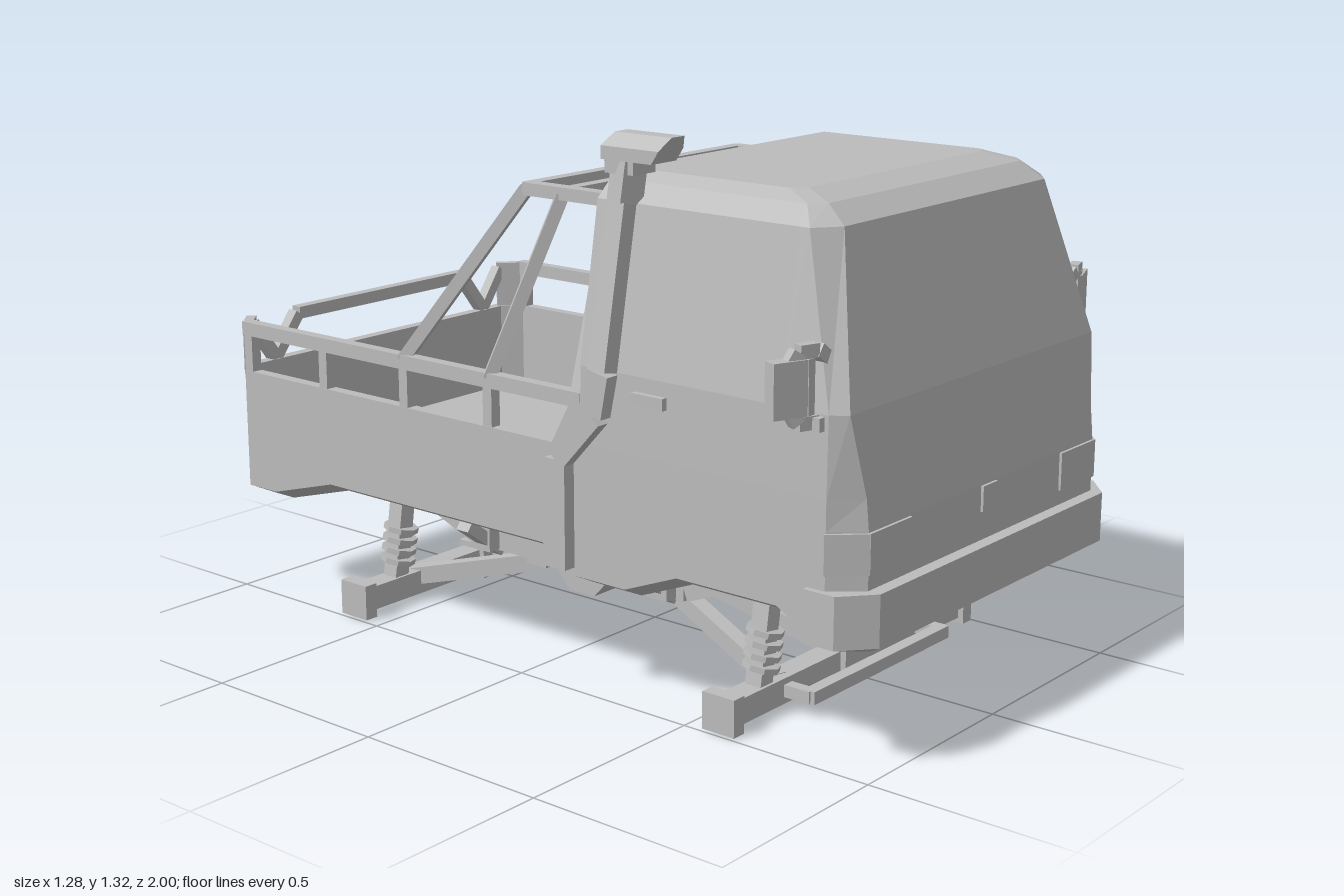
import * as THREE from 'three';

const paint = new THREE.MeshStandardMaterial({ color: 0xbcbcbc });
paint.name = 'grey';
paint.flatShading = true;
paint.side = THREE.DoubleSide;

// Height of the wheel-arch cut-out, interpolated along z
function along(table) {
  return (z) => {
    for (let i = 1; i < table.length; i++) {
      const [z0, h0] = table[i - 1], [z1, h1] = table[i];
      if (z >= z1) return z >= z0 ? h0 : h0 + ((h1 - h0) * (z - z0)) / (z1 - z0);
    }
    return table[table.length - 1][1];
  };
}

// Half outline, front to back: front edge, side points, rear edge
function ring(y, front, frontW, sideZ, w, back, backW = w, backSideZ = back, mids = [], rise = () => 0) {
  const pts = [[frontW, front], [w, sideZ], ...mids.map((z) => [w, Math.min(z, sideZ)]), [w, backSideZ], [backW, back]];
  return pts.map(([x, z]) => [x, y + rise(z), z]);
}

// Skin between mirrored outlines, closed at both ends
function loft(rings) {
  const pos = [];
  const quad = (a, b, c, d) => pos.push(...a, ...b, ...c, ...a, ...c, ...d);
  const flip = ([x, y, z]) => [-x, y, z];
  const full = rings.map((r) => [...r, ...r.map(flip).reverse()]);
  for (let k = 1; k < full.length; k++) {
    const a = full[k - 1], b = full[k], n = a.length;
    for (let i = 0; i < n; i++) quad(a[i], a[(i + 1) % n], b[(i + 1) % n], b[i]);
  }
  const lo = rings[0], hi = rings[rings.length - 1];
  for (let i = 1; i < lo.length; i++) {
    quad(lo[i - 1], flip(lo[i - 1]), flip(lo[i]), lo[i]);
    quad(hi[i - 1], hi[i], flip(hi[i]), flip(hi[i - 1]));
  }
  const g = new THREE.BufferGeometry();
  g.setAttribute('position', new THREE.Float32BufferAttribute(pos, 3));
  g.computeVertexNormals();
  return g;
}

export function createModel() {
  const model = new THREE.Group();
  model.name = 'pickup';

  function add(name, geometry) {
    const m = new THREE.Mesh(geometry, paint);
    m.name = name;
    model.add(m);
    return m;
  }
  // Box given by its limits
  function box(name, x0, x1, y0, y1, z0, z1) {
    const m = add(name, new THREE.BoxGeometry(Math.abs(x1 - x0), y1 - y0, z1 - z0));
    m.position.set((x0 + x1) / 2, (y0 + y1) / 2, (z0 + z1) / 2);
    return m;
  }
  // Square bar between two points
  function beam(name, a, b, w = 0.03, h = w) {
    const p = new THREE.Vector3(...a), q = new THREE.Vector3(...b);
    const m = add(name, new THREE.BoxGeometry(w, h, p.distanceTo(q)));
    m.position.copy(p).add(q).multiplyScalar(0.5);
    m.lookAt(q);
    return m;
  }
  function path(name, pts, w, h) {
    for (let i = 1; i < pts.length; i++) beam(name, pts[i - 1], pts[i], w, h);
  }

  // Cab
  const cabMids = [0.86, 0.775, 0.5, 0.35];
  const cabRise = along([[0.88, 0], [0.775, 0.06], [0.5, 0.06], [0.35, 0], [0.22, 0]]);
  const cab = (y, f, fw, c, w, b = 0.22, rise) => ring(y, f, fw, c, w, b, w, b, cabMids, rise);
  add('cab', loft([
    cab(0.27, 0.93, 0.42, 0.87, 0.47, 0.22, cabRise),
    cab(0.3, 0.97, 0.47, 0.9, 0.53, 0.22, cabRise),
    cab(0.55, 0.967, 0.47, 0.9, 0.53),
    cab(0.62, 0.96, 0.47, 0.9, 0.53),
    cab(0.8, 0.935, 0.5, 0.9, 0.527),
    cab(1.17, 0.845, 0.405, 0.8, 0.465),
    cab(1.21, 0.79, 0.385, 0.76, 0.42),
    cab(1.23, 0.71, 0.345, 0.68, 0.375, 0.235),
  ]));

  // Front bumper
  add('frontBumper', loft([
    ring(0.27, 0.95, 0.43, 0.89, 0.48, 0.86),
    ring(0.3, 1, 0.47, 0.935, 0.545, 0.855),
    ring(0.42, 1, 0.47, 0.935, 0.545, 0.855),
  ]));

  // Load bed, open on top
  const bedMids = [0.2, 0.1, -0.62, -0.83];
  const bedRise = along([[0.2, 0], [0.1, 0.06], [-0.62, 0.06], [-0.83, 0], [-1, 0]]);
  const bed = (y, f, w, b, bw, bc, rise) => ring(y, f, w, f, w, b, bw, bc, bedMids, rise);
  add('loadBed', loft([
    bed(0.27, 0.24, 0.47, -0.95, 0.42, -0.9, bedRise),
    bed(0.3, 0.24, 0.53, -0.99, 0.47, -0.93, bedRise),
    bed(0.607, 0.24, 0.53, -0.99, 0.47, -0.93),
    bed(0.607, 0.225, 0.5, -0.96, 0.455, -0.915),
    bed(0.37, 0.225, 0.5, -0.96, 0.455, -0.915),
  ]));

  // Raised cover in the bed
  add('engineCover', loft([
    ring(0.37, 0.22, 0.31, 0.22, 0.31, -0.155),
    ring(0.45, 0.22, 0.31, 0.22, 0.31, -0.155),
    ring(0.47, 0.22, 0.28, 0.22, 0.28, -0.13),
  ]));

  // Parts on both sides
  for (const s of [1, -1]) {
    // Side rail, its posts and the gusset behind the cab
    const rx = 0.515 * s;
    beam('sideRail', [rx, 0.718, 0.22], [rx, 0.718, -0.935], 0.03, 0.035);
    for (const z of [-0.07, -0.35, -0.635, -0.915]) beam('railPost', [rx, 0.6, z], [rx, 0.71, z], 0.028);
    const tri = new THREE.Shape([[-0.22, 0.6], [-0.13, 0.6], [-0.19, 0.71], [-0.22, 0.71]].map((p) => new THREE.Vector2(...p)));
    const gusset = add('railGusset', new THREE.ExtrudeGeometry(tri, { depth: 0.03, bevelEnabled: false }));
    gusset.rotation.y = Math.PI / 2;
    gusset.position.x = rx - 0.015;

    // Rear corner plate and sloping tail rails
    beam('cornerPlate', [0.52 * s, 0.665, -0.925], [0.46 * s, 0.665, -0.98], 0.025, 0.135);
    path('tailRail', [[0.465 * s, 0.715, -0.977], [0.39 * s, 0.61, -0.977], [0.31 * s, 0.715, -0.977]], 0.03, 0.03);

    // Roll cage
    const tx = 0.392 * s;
    beam('cageTop', [tx, 1.155, 0.2], [tx, 1.155, -0.06], 0.035, 0.03);
    beam('cageFrontPost', [tx, 1.155, 0.203], [rx, 0.72, 0.203], 0.03, 0.028);
    beam('cageMiddleLeg', [tx, 1.15, 0.05], [rx, 0.72, -0.075], 0.03);
    beam('cageRearLeg', [tx, 1.155, -0.06], [rx, 0.72, -0.36], 0.03);

    // Mirror on its bracket
    path('mirrorBracket', [[0.49 * s, 0.91, 0.865], [0.525 * s, 0.935, 0.865], [0.57 * s, 0.935, 0.85], [0.59 * s, 0.9, 0.84],
      [0.59 * s, 0.82, 0.84], [0.57 * s, 0.783, 0.85], [0.525 * s, 0.783, 0.865]], 0.025, 0.03);
    box('mirrorArm', 0.538 * s, 0.56 * s, 0.8, 0.92, 0.85, 0.872);
    beam('mirrorHead', [0.555 * s, 0.86, 0.855], [0.632 * s, 0.86, 0.825], 0.035, 0.12);
    box('mirrorFoot', 0.49 * s, 0.545 * s, 0.765, 0.795, 0.86, 0.89);

    // Lamps and door handle
    box('headlamp', 0.315 * s, 0.472 * s, 0.456, 0.547, 0.966, 0.974);
    beam('headlampSide', [0.47 * s, 0.501, 0.971], [0.536 * s, 0.501, 0.9], 0.008, 0.091);
    box('tailLamp', 0.375 * s, 0.465 * s, 0.39, 0.52, -0.998, -0.989);
    box('doorHandle', 0.525 * s, 0.543 * s, 0.738, 0.766, 0.38, 0.47);

    // Frame rail kicked up over both axles
    const fx = 0.28 * s;
    path('frameRail', [[fx, 0.3, 0.75], [fx, 0.3, 0.5], [fx, 0.237, 0.34], [fx, 0.237, -0.34], [fx, 0.3, -0.5], [fx, 0.3, -0.8]], 0.05, 0.06);

    for (const e of [1, -1]) {
      const z = 0.59 * e;
      // Hub, link arm, brace and coil-over
      box('hub', 0.455 * s, 0.492 * s, 0.005, 0.095, z - 0.045, z + 0.045);
      beam('linkArm', [0.1 * s, 0.2, 0.03 * e], [0.27 * s, 0.06, z], 0.04, 0.045);
      beam('bodyBrace', [0.28 * s, 0.2, 0.28 * e], [0.4 * s, 0.29, 0.28 * e], 0.04, 0.03);
      beam('shockRod', [0.345 * s, 0.06, z], [0.305 * s, 0.32, z], 0.045);
      for (let i = 0; i < 4; i++) {
        const coil = add('springCoil', new THREE.CylinderGeometry(0.045, 0.045, 0.014, 8));
        coil.position.set((0.333 - i * 0.0045) * s, 0.12 + i * 0.027, z);
        coil.rotation.set(0.15, 0, 0.15 * s);
      }
    }
    beam('steeringArm', [0.27 * s, 0.05, 0.6], [0.27 * s, 0.05, 0.69], 0.03);
  }

  // Cage cross bars and tail rail
  for (const z of [-0.05, 0.07, 0.2]) box('cageCrossBar', -0.4, 0.4, 1.14, 1.17, z - 0.016, z + 0.016);
  box('tailRailTop', -0.31, 0.31, 0.7, 0.732, -0.992, -0.962);

  // Rear window frames, high lamp, tailgate handle, front badge plate
  for (const x of [-0.36, -0.12, 0.12, 0.36]) box('rearWindowBar', x - 0.012, x + 0.012, 0.74, 1.12, 0.205, 0.222);
  for (const y of [0.74, 1.12]) box('rearWindowRail', -0.372, 0.372, y - 0.012, y + 0.012, 0.205, 0.222);
  box('highLamp', -0.045, 0.045, 1.185, 1.212, 0.208, 0.23);
  box('tailgateHandle', -0.065, 0.065, 0.55, 0.58, -1, -0.985);
  box('frontPlate', -0.03, 0.03, 0.487, 0.547, 0.966, 0.974);

  // Air intake: pipe up the cab side with a hood on top
  path('intakePipe', [[-0.535, 0.32, 0.17], [-0.535, 0.58, 0.17], [-0.535, 0.7, 0.28], [-0.535, 0.8, 0.3],
    [-0.472, 1.17, 0.305], [-0.455, 1.29, 0.31]], 0.055, 0.06);
  box('intakeNeck', -0.49, -0.415, 1.235, 1.265, 0.262, 0.345);
  const hood = add('intakeHood', loft([
    ring(1.265, 0.4, 0.043, 0.4, 0.043, 0.257),
    ring(1.295, 0.42, 0.043, 0.42, 0.043, 0.257),
    ring(1.325, 0.44, 0.022, 0.44, 0.022, 0.28),
  ]));
  hood.position.x = -0.453;

  // Chassis centre and cross members
  add('centreMember', loft([
    ring(0.145, 0.04, 0.28, 0.04, 0.28, -0.04),
    ring(0.205, 0.095, 0.28, 0.095, 0.28, -0.095),
    ring(0.265, 0.095, 0.28, 0.095, 0.28, -0.095),
  ]));
  for (const z of [0.285, 0.095, -0.095, -0.285]) box('crossMember', -0.34, 0.34, 0.21, 0.285, z - 0.032, z + 0.032);
  for (const z of [0.75, -0.78]) box('endCrossMember', -0.3, 0.3, 0.27, 0.32, z - 0.03, z + 0.03);
  box('exhaustTip', 0.36, 0.43, 0.285, 0.32, -0.272, -0.218);
  box('sideTank', 0.34, 0.46, 0.28, 0.36, 0.05, 0.22);

  // Axles, drive shafts and steering rod
  for (const e of [1, -1]) {
    const z = 0.59 * e;
    box('axle', -0.47, 0.47, 0.018, 0.08, z - 0.03, z + 0.03);
    box('differential', -0.062, 0.062, 0.003, 0.095, z - 0.045, z + 0.045);
    beam('driveShaft', [0, 0.06, z], [0, 0.18, 0], 0.055, 0.045);
  }
  box('steeringRod', -0.28, 0.28, 0.035, 0.066, 0.67, 0.702);

  return model;
}
